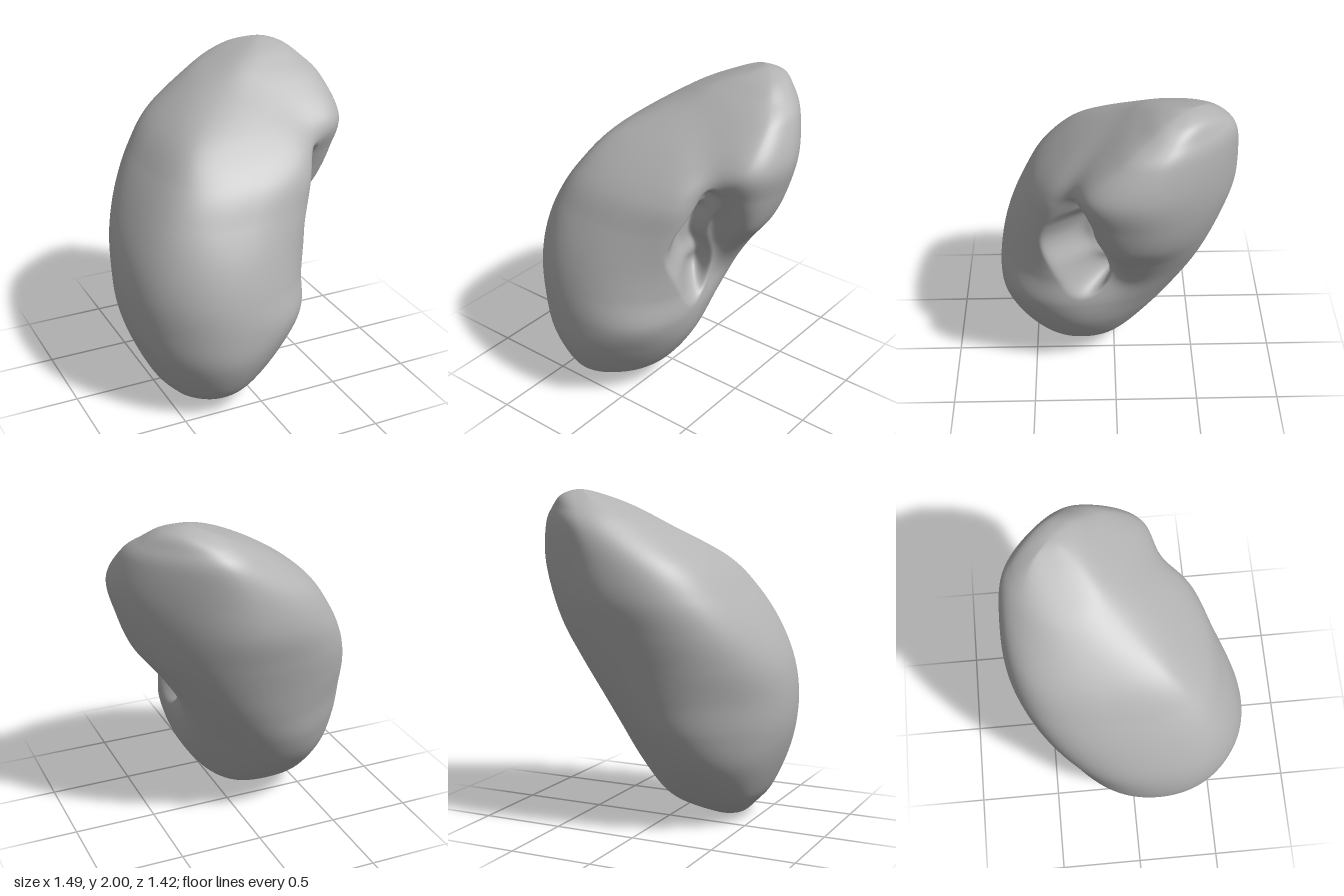
import * as THREE from 'three';
import { mergeVertices } from 'three/addons/utils/BufferGeometryUtils.js';

const S = Math.SQRT1_2;
const { smoothstep } = THREE.MathUtils;

// Eight horizontal directions, 45 degrees apart: +x, +x+z, +z, -x+z, -x, -x-z, -z, +x-z
const DIRS = Array.from({ length: 8 }, (_, k) => [Math.cos(k * Math.PI / 4), Math.sin(k * Math.PI / 4)]);

// Poles, and sections as height followed by the reach in each direction
const pole = (y, x, z) => [y, ...DIRS.map(([a, b]) => a * x + b * z)];
const SECTIONS = [
  pole(0, -0.29, 0.25),
  [0.02, -0.18, 0.085, 0.36, 0.475, 0.40, 0.15, -0.13, -0.27],
  [0.10, 0.00, 0.235, 0.505, 0.59, 0.49, 0.29, 0.02, -0.07],
  [0.20, 0.125, 0.34, 0.60, 0.67, 0.575, 0.40, 0.15, 0.05],
  [0.40, 0.26, 0.465, 0.69, 0.755, 0.67, 0.53, 0.34, 0.19],
  [0.60, 0.335, 0.545, 0.71, 0.785, 0.73, 0.595, 0.46, 0.31],
  [0.80, 0.38, 0.525, 0.69, 0.79, 0.745, 0.63, 0.53, 0.43],
  [1.00, 0.48, 0.52, 0.64, 0.755, 0.72, 0.67, 0.59, 0.54],
  [1.20, 0.62, 0.54, 0.56, 0.68, 0.64, 0.685, 0.65, 0.63],
  [1.40, 0.70, 0.575, 0.46, 0.555, 0.52, 0.66, 0.70, 0.69],
  [1.60, 0.745, 0.585, 0.27, 0.345, 0.36, 0.58, 0.70, 0.72],
  [1.80, 0.69, 0.43, 0.02, -0.035, 0.09, 0.40, 0.67, 0.72],
  [1.90, 0.61, 0.29, -0.12, -0.22, -0.10, 0.28, 0.60, 0.69],
  [1.97, 0.52, 0.17, -0.24, -0.40, -0.27, 0.14, 0.49, 0.645],
  pole(2, 0.40, -0.37),
];

// Section at t from 0 to 1; the rows are mirrored through the poles to round them off
function sectionAt(t) {
  const last = SECTIONS.length - 1;
  const mirror = (p, q) => q.map((v, k) => (k ? 2 * p[k] - v : v));
  const row = (i) => i < 0 ? mirror(SECTIONS[0], SECTIONS[1])
    : i > last ? mirror(SECTIONS[last], SECTIONS[last - 1]) : SECTIONS[i];
  const i = Math.min(Math.floor(t * last), last - 1), f = t * last - i;
  const [a, b, c, d] = [row(i - 1), row(i), row(i + 1), row(i + 2)];
  return b.map((p, k) => p + 0.5 * f * (c[k] - a[k]
    + f * (2 * a[k] - 5 * p + 4 * c[k] - d[k] + f * (3 * (p - c[k]) + d[k] - a[k]))));
}

// Smooth loop touching the eight lines that bound a section, denser on the hollow side
function loopPoints(reach) {
  const corners = DIRS.map(([a, b], k) => {
    const s = (reach[(k + 1) % 8] - reach[k] * S) / S;
    return new THREE.Vector2(a * reach[k] - b * s, b * reach[k] + a * s);
  });
  const points = [];
  corners.forEach((c, k) => {
    const from = c.clone().add(corners[(k + 7) % 8]).multiplyScalar(0.5);
    const to = c.clone().add(corners[(k + 1) % 8]).multiplyScalar(0.5);
    const curve = new THREE.QuadraticBezierCurve(from, c, to);
    const steps = k < 2 ? 80 : 20;
    for (let j = 0; j < steps; j++) points.push(curve.getPoint(j / steps));
  });
  return points;
}

// Depth of the inward hollow: a broad dent plus a slot-shaped opening with ridges inside
function hollow(u, v, y) {
  if (u < 0) return 0;
  const bell = (x, mid, width) => Math.exp(-(((x - mid) / width) ** 2));
  const dent = 0.19 * bell(v, 0.18, 0.14) * bell(y, 1.12, 0.4);
  const mid = 0.095 - 0.06 * bell(y, 1.1, 0.16) + 0.06 * smoothstep(y, 1.2, 1.45);
  const width = 0.085 + 0.04 * bell(y, 1.02, 0.22);
  const d = Math.sqrt(((v - mid) / width) ** 2 + ((y - 1.08) / 0.4) ** 4);
  const depth = 0.23 - 0.08 * bell(y, 1.32, 0.06) - 0.04 * bell(y, 0.92, 0.07);
  return (dent + depth * (1 - smoothstep(d, 0.25, 1.12))) * smoothstep(u, 0, 0.15);
}

function bodyGeometry(rows = 240) {
  const pos = [], index = [];
  let n = 0;
  for (let i = 0; i <= rows; i++) {
    const [y, ...reach] = sectionAt(i / rows);
    const loop = loopPoints(reach);
    n = loop.length;
    for (const p of loop) {
      const push = hollow((p.x + p.y) * S, (p.x - p.y) * S, y) * S;
      pos.push(p.x - push, y, p.y - push);
    }
  }
  // Quads between neighbouring loops, single triangles at the poles
  for (let i = 0; i < rows; i++) {
    for (let j = 0; j < n; j++) {
      const a = i * n + j, c = i * n + (j + 1) % n, b = a + n, d = c + n;
      if (i > 0) index.push(a, b, c);
      if (i < rows - 1) index.push(b, d, c);
    }
  }
  const geo = new THREE.BufferGeometry();
  geo.setAttribute('position', new THREE.Float32BufferAttribute(pos, 3));
  geo.setIndex(index);
  const merged = mergeVertices(geo, 1e-5);
  merged.computeVertexNormals();
  return merged;
}

export function createModel() {
  const group = new THREE.Group();
  group.name = 'kidney';
  const grey = new THREE.MeshStandardMaterial({ color: 0xb4b4b4 });
  grey.name = 'grey';
  const body = new THREE.Mesh(bodyGeometry(), grey);
  body.name = 'kidneyBody';
  group.add(body);
  return group;
}
